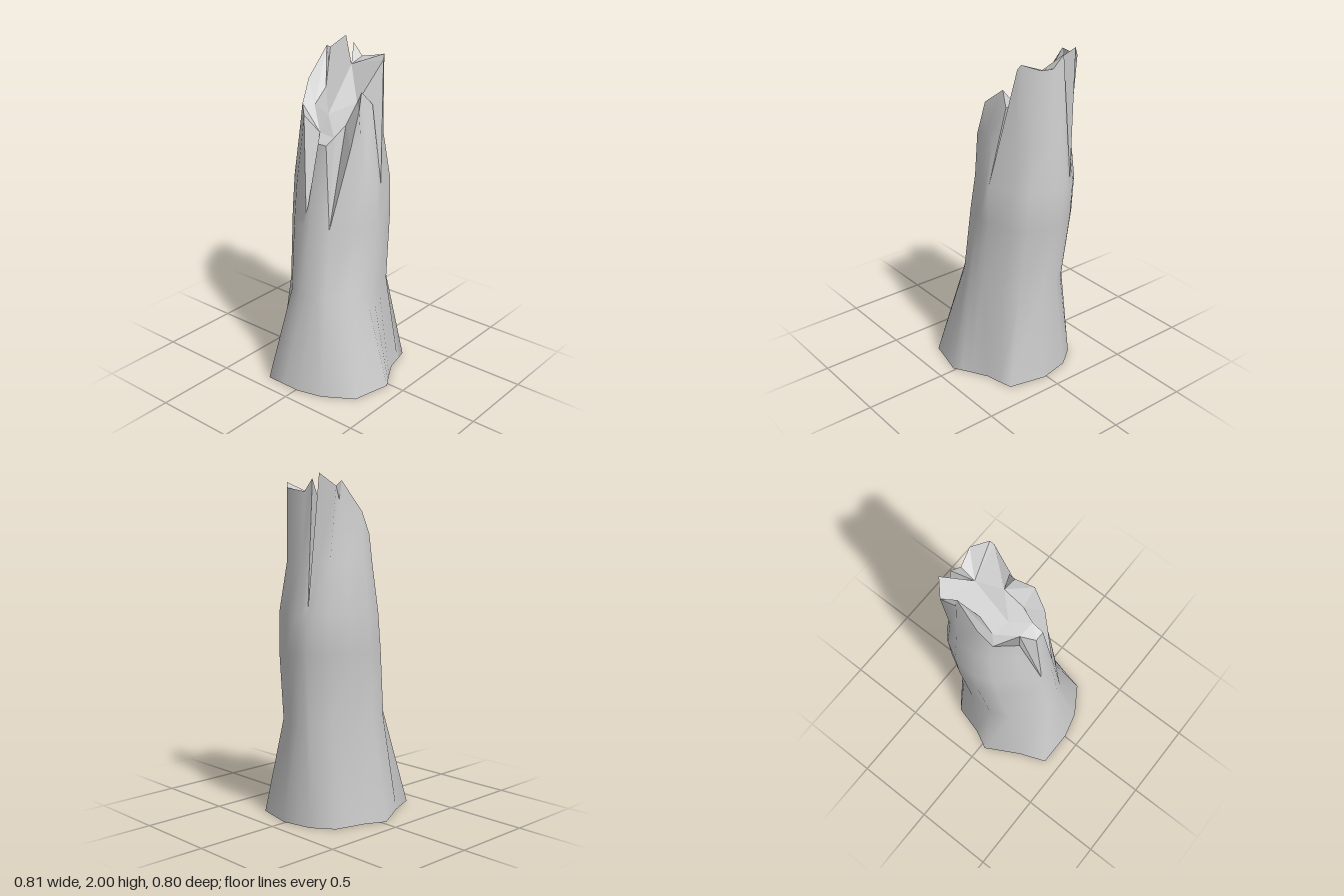
import * as THREE from 'three';

// inner points of the splintered break: x, y, z
const CORE = {
  A: [0.215, 1.87, -0.085], B: [0.12, 1.68, 0.035], C: [0, 1.58, 0.05],
  J: [-0.08, 1.52, 0.03], D: [-0.075, 1.53, -0.08], F: [0.015, 1.65, -0.195],
  G: [0.105, 1.74, -0.185],
};
const CORE_LOOP = ['A', 'B', 'C', 'J', 'D', 'F', 'G'];
const CORE_CENTRE = [0, 1.62, -0.08];

// one row per bark strip: angle, foot [x, z], broken tip [x, y, z], inner point
const STRIPS = [
  [8, [0.40, 0.015], [0.34, 1.92, 0.03], 'A'],
  [35, [0.35, 0.24], [0.27, 1.95, 0.11], 'A'],
  [55, [0.27, 0.26], [0.25, 1.92, 0.12], 'B'],
  [80, [0.18, 0.28], [0.12, 1.23, 0.215], 'B'], // notch
  [92, [0.08, 0.335], [0.155, 1.68, 0.12], 'B'],
  [102, [0.03, 0.365], [0.09, 1.76, 0.09], 'B'],
  [112, [-0.02, 0.395], [0, 1.68, 0.145], 'C'],
  [125, [-0.14, 0.365], [-0.075, 1.47, 0.145], 'C'],
  [150, [-0.255, 0.34], [-0.19, 1.0, 0.085], 'J'], // notch
  [162, [-0.365, 0.165], [-0.15, 1.49, 0.03], 'J'],
  [175, [-0.405, 0.01], [-0.15, 1.49, -0.03], 'D'],
  [186, [-0.405, -0.1], [-0.225, 1.05, -0.06], 'D'], // notch
  [205, [-0.405, -0.22], [-0.13, 1.63, -0.15], 'D'],
  [238, [-0.24, -0.285], [-0.03, 1.66, -0.25], 'F'],
  [262, [-0.03, -0.40], [0.05, 1.79, -0.27], 'F'],
  [290, [0.09, -0.34], [0.19, 1.96, -0.25], 'G'],
  [312, [0.2, -0.31], [0.27, 1.93, -0.29], 'A'],
  [328, [0.27, -0.29], [0.33, 2.0, -0.22], 'A'],
  [338, [0.32, -0.225], [0.37, 1.25, -0.17], 'A'], // crack
  [343, [0.36, -0.17], [0.315, 1.97, -0.15], 'A'],
  [352, [0.38, -0.08], [0.31, 1.9, -0.08], 'A'],
];

// trunk cross-sections: y, centre x, centre z, radius x, radius z
const SECTIONS = [
  [0.58, 0.03, -0.03, 0.325, 0.275],
  [1.0, 0.08, -0.05, 0.315, 0.283],
  [1.22, 0.10, -0.06, 0.30, 0.277],
  [1.5, 0.105, -0.07, 0.255, 0.24],
];

function makeMesh(name, points, index, flat) {
  let geo = new THREE.BufferGeometry();
  geo.setAttribute('position', new THREE.Float32BufferAttribute(points.flat(), 3));
  geo.setIndex(index);
  if (flat) geo = geo.toNonIndexed();
  geo.computeVertexNormals();
  const mesh = new THREE.Mesh(geo, new THREE.MeshStandardMaterial({
    color: 0xcccccc, side: THREE.DoubleSide, flatShading: flat,
  }));
  mesh.name = name;
  return mesh;
}

// hollow outer wall, each strip ending at its own broken tip
function barkWall() {
  const points = [], index = [], n = STRIPS.length, levels = SECTIONS.length + 2;
  const ids = STRIPS.map(([deg, foot, tip]) => {
    const a = THREE.MathUtils.degToRad(deg);
    const column = [points.push([foot[0], 0, foot[1]]) - 1];
    for (const [y, cx, cz, rx, rz] of SECTIONS) {
      if (y < tip[1] - 0.01) {
        column.push(points.push([cx + rx * Math.cos(a), y, cz + rz * Math.sin(a)]) - 1);
      }
    }
    const top = points.push(tip) - 1;
    while (column.length < levels) column.push(top);
    return column;
  });
  const tri = (a, b, c) => { if (a !== b && b !== c && a !== c) index.push(a, b, c); };
  for (let i = 0; i < n; i++) {
    const p = ids[i], q = ids[(i + 1) % n];
    for (let k = 0; k < levels - 1; k++) {
      tri(p[k], p[k + 1], q[k]);
      tri(q[k], p[k + 1], q[k + 1]);
    }
  }
  return makeMesh('barkWall', points, index, false);
}

// faceted splintered surface closing the top
function brokenTop() {
  const points = [], index = [];
  const tri = (a, b, c) => {
    const start = points.push(a, b, c) - 3;
    index.push(start, start + 1, start + 2);
  };
  STRIPS.forEach(([, , tip, key], i) => {
    const [, , nextTip, nextKey] = STRIPS[(i + 1) % STRIPS.length];
    tri(nextTip, tip, CORE[key]);
    // step through the inner points between this strip and the next
    let k = CORE_LOOP.indexOf(key);
    while (CORE_LOOP[k] !== nextKey) {
      const m = (k + 1) % CORE_LOOP.length;
      tri(nextTip, CORE[CORE_LOOP[k]], CORE[CORE_LOOP[m]]);
      k = m;
    }
  });
  CORE_LOOP.forEach((key, i) => {
    tri(CORE[CORE_LOOP[(i + 1) % CORE_LOOP.length]], CORE[key], CORE_CENTRE);
  });
  return makeMesh('brokenTop', points, index, true);
}

export function createModel() {
  const group = new THREE.Group();
  group.name = 'treeStump';
  group.add(barkWall(), brokenTop());
  return group;
}
